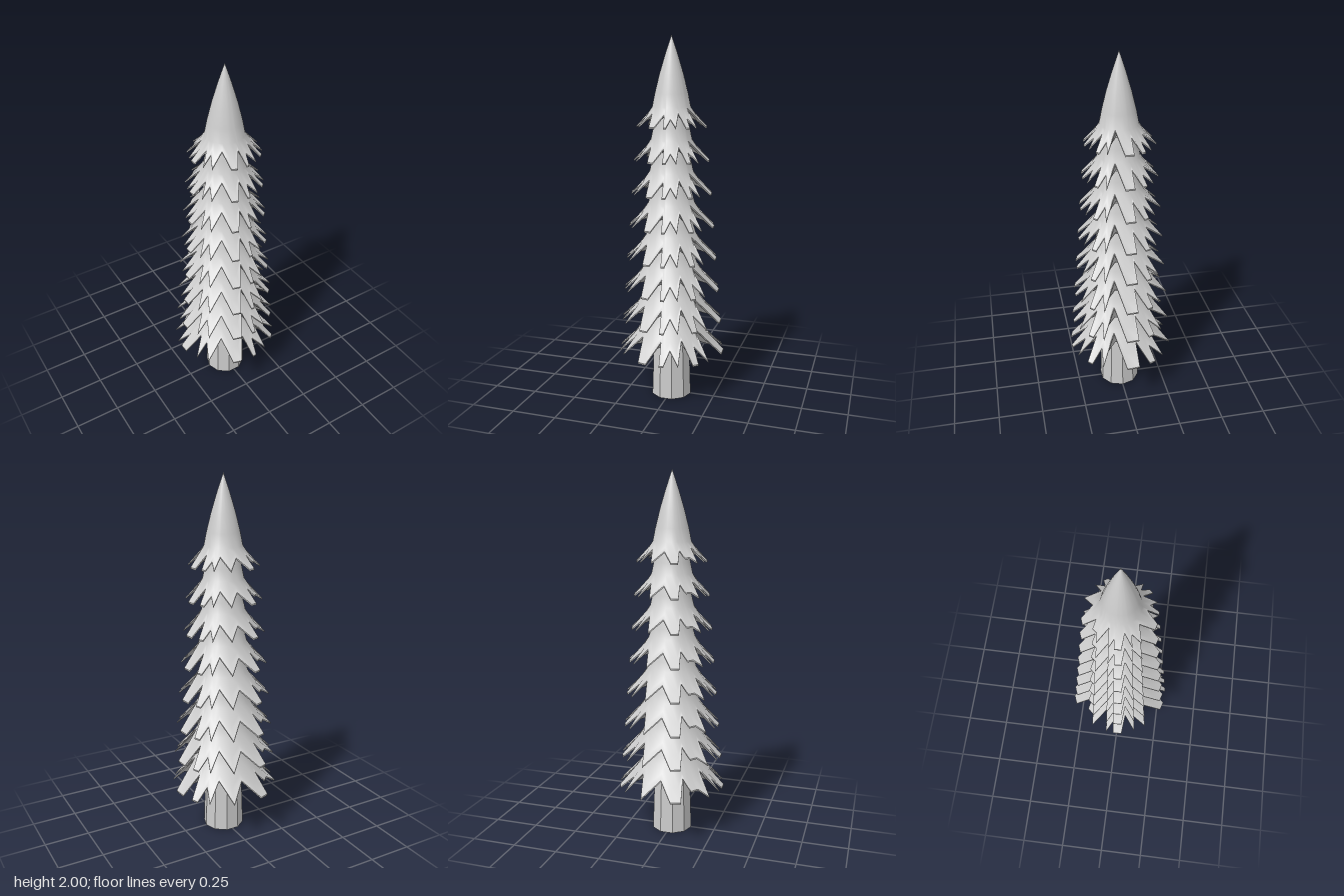
import * as THREE from 'three';

const TIERS = 8;

// Ragged skirt outline of the widest tier as x, z pairs, counterclockwise from above
const OUTLINE = [
  0.296, 0.01, 0.29, -0.063, 0.185, -0.06, 0.268, -0.128, 0.252, -0.163, 0.18, -0.14,
  0.205, -0.217, 0.118, -0.162, 0.089, -0.287, 0, -0.208, -0.079, -0.29, -0.132, -0.27,
  -0.112, -0.167, -0.146, -0.181, -0.166, -0.188, -0.188, -0.163, -0.196, -0.154,
  -0.259, -0.15, -0.177, -0.065, -0.291, -0.058, -0.235, -0.02, -0.295, -0.013,
  -0.293, 0.04, -0.196, 0.053, -0.266, 0.119, -0.19, 0.105, -0.225, 0.183, -0.118, 0.151,
  -0.107, 0.269, -0.059, 0.283, 0, 0.194, 0.018, 0.288, 0.041, 0.286, 0.057, 0.212,
  0.118, 0.263, 0.105, 0.155, 0.189, 0.22, 0.214, 0.197, 0.17, 0.133, 0.255, 0.142,
  0.15, 0.06,
];
const COLUMNS = [];
for (let i = 0; i < OUTLINE.length; i += 2) {
  const r = Math.hypot(OUTLINE[i], OUTLINE[i + 1]);
  COLUMNS.push({ r, c: OUTLINE[i] / r, s: OUTLINE[i + 1] / r });
}

// Skin a stack of closed rings; each ring maps a column to [radius, height]
function skin(rings) {
  const n = COLUMNS.length;
  const positions = [];
  const index = [];
  rings.forEach((ring, j) => COLUMNS.forEach((col, k) => {
    const [r, y] = ring(col);
    positions.push(r * col.c, y, r * col.s);
    if (j === 0) return;
    const a = (j - 1) * n + k, b = j * n + k;
    const d = (j - 1) * n + (k + 1) % n, c = j * n + (k + 1) % n;
    index.push(a, b, c, a, c, d);
  }));
  const geometry = new THREE.BufferGeometry();
  geometry.setAttribute('position', new THREE.Float32BufferAttribute(positions, 3));
  geometry.setIndex(index);
  geometry.computeVertexNormals();
  return geometry;
}

function createTier(i, material) {
  const tipRadius = 0.19 + 0.015 * i;
  const s = tipRadius / 0.295;
  const tipY = 1.53 - 0.18 * i;
  const drop = 0.155 * s;
  const baseR = 0.16 * s, baseY = tipY + drop;

  const circle = (r, y) => () => [r, y];
  // The skirt falls steeply at the body and flares outwards to its tips
  const skirt = (f, lower = 0) => (col) => {
    const r = THREE.MathUtils.lerp(baseR, col.r * s, f);
    const t = (r - baseR) / (0.135 * s);
    return [r, baseY - drop * (1.5 * t - 0.5 * t * t) - lower];
  };

  const body = i === 0
    ? [[0.0005, 2], [0.034, 1.9], [0.064, 1.8], [0.089, 1.7]]
    : [[baseR * 0.78, tipY + 0.235], [baseR * 0.88, (tipY + 0.235 + baseY) / 2]];
  const top = [...body.map(([r, y]) => circle(r, y)), circle(baseR, baseY), skirt(0.5), skirt(1)];
  const thickness = 0.008;
  const under = [skirt(1, thickness), skirt(0.5, thickness + 0.004), circle(baseR * 0.8, tipY + 0.06)];

  const tier = new THREE.Group();
  tier.name = `branchTier${i + 1}`;
  const parts = {
    needleCover: top,
    skirtEdge: [skirt(1), skirt(1, thickness)],
    skirtUnderside: under,
  };
  for (const [name, rings] of Object.entries(parts)) {
    const mesh = new THREE.Mesh(skin(rings), material);
    mesh.name = name;
    tier.add(mesh);
  }
  return tier;
}

export function createModel() {
  const model = new THREE.Group();
  model.name = 'conifer';
  const foliage = new THREE.MeshStandardMaterial({ color: 0xcccccc, side: THREE.DoubleSide });
  const bark = new THREE.MeshStandardMaterial({ color: 0xcccccc, flatShading: true });

  // Faceted trunk running up into the lowest tier
  const trunk = new THREE.Mesh(new THREE.CylinderGeometry(0.102, 0.115, 0.38, 10), bark);
  trunk.name = 'trunk';
  trunk.position.y = 0.19;
  trunk.rotation.y = Math.PI / 10;
  model.add(trunk);

  // Stacked tiers, widening towards the ground
  for (let i = 0; i < TIERS; i++) model.add(createTier(i, foliage));
  return model;
}
